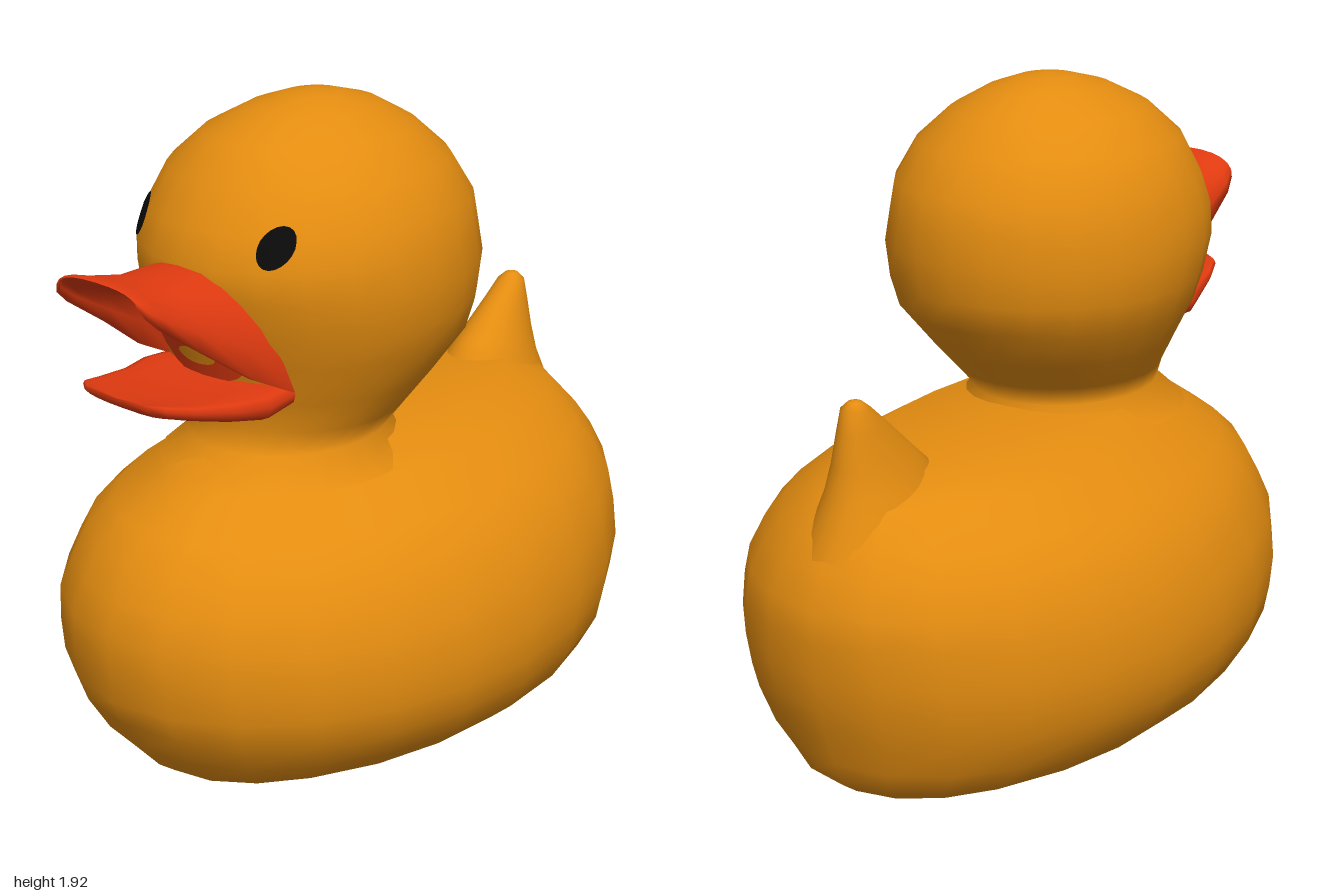
import * as THREE from 'three';

const SEG = 24;
const mat = (name, color, side = THREE.FrontSide) =>
  Object.assign(new THREE.MeshStandardMaterial({ color, side }), { name });

// Skin closed rings of points; optional end point closes the last ring
function loft(rings, tip) {
  const n = rings[0].length, pos = rings.flat(2), index = [];
  for (let i = 0; i < rings.length - 1; i++) {
    for (let j = 0; j < n; j++) {
      const a = i * n + j, b = i * n + (j + 1) % n;
      index.push(a, b, b + n, a, b + n, a + n);
    }
  }
  if (tip) {
    const base = (rings.length - 1) * n;
    pos.push(...tip);
    for (let j = 0; j < n; j++) index.push(base + j, base + (j + 1) % n, rings.length * n);
  }
  const geo = new THREE.BufferGeometry();
  geo.setAttribute('position', new THREE.Float32BufferAttribute(pos, 3));
  geo.setIndex(index);
  geo.computeVertexNormals();
  return geo;
}

// Horizontal ring from [height, half width, front z, back z]
function ring([y, w, zf, zb]) {
  const c = (zf + zb) / 2, h = (zf - zb) / 2;
  return Array.from({ length: SEG }, (_, j) => {
    const a = (j / SEG) * Math.PI * 2;
    return [w * Math.sin(a), y, c + h * Math.cos(a)];
  });
}

const BODY = [
  [0.005, 0.46, 0.76, -0.82], [0.05, 0.54, 0.82, -0.88], [0.13, 0.63, 0.89, -0.915],
  [0.24, 0.695, 0.955, -0.95], [0.32, 0.705, 0.985, -0.975], [0.42, 0.715, 0.993, -0.993],
  [0.53, 0.69, 1.0, -1.0], [0.62, 0.655, 0.96, -0.995], [0.71, 0.605, 0.915, -0.95],
  [0.78, 0.53, 0.84, -0.91], [0.87, 0.40, 0.70, -0.83], [0.935, 0.29, 0.6, -0.66],
];
const HEAD = [
  [0.88, 0.36, 0.66, -0.14], [0.96, 0.27, 0.57, -0.05], [1.03, 0.31, 0.55, -0.11],
  [1.12, 0.365, 0.57, -0.20], [1.24, 0.435, 0.61, -0.31], [1.33, 0.46, 0.645, -0.34],
  [1.44, 0.475, 0.68, -0.355], [1.53, 0.46, 0.69, -0.345], [1.62, 0.44, 0.65, -0.33],
  [1.73, 0.38, 0.59, -0.26], [1.82, 0.28, 0.49, -0.16], [1.88, 0.17, 0.36, -0.05],
  [1.91, 0.08, 0.24, 0.06],
];
const TAIL = [
  [0.72, 0.2, -0.42, -0.94], [0.9, 0.13, -0.47, -0.87], [0.98, 0.095, -0.56, -0.855],
  [1.08, 0.06, -0.67, -0.84], [1.14, 0.042, -0.74, -0.825], [1.16, 0.02, -0.765, -0.805],
];

// Front surface of the head at x, y
function headZ(x, y) {
  const i = Math.max(1, HEAD.findIndex(r => r[0] >= y));
  const a = HEAD[i - 1], b = HEAD[i], t = (y - a[0]) / (b[0] - a[0]);
  const [w, zf, zb] = [1, 2, 3].map(k => a[k] + (b[k] - a[k]) * t);
  return (zf + zb) / 2 + ((zf - zb) / 2) * Math.sqrt(Math.max(0, 1 - (x / w) ** 2));
}

// Oval patch lying on the front of the head
function headPatch(cx, cy, rx, ry, lift) {
  const rings = [1, 0.75, 0.5, 0.25].map(s => Array.from({ length: 20 }, (_, j) => {
    const a = (j / 20) * Math.PI * 2;
    const x = cx + s * rx * Math.cos(a), y = cy + s * ry * Math.sin(a);
    return [x, y, headZ(x, y) + lift];
  }));
  return loft(rings, [cx, cy, headZ(cx, cy) + lift]);
}

const bend = (v, p) => Math.sign(v) * Math.abs(v) ** p;

// Arched section of the upper bill: outer arch, then inner arch back
function arch([w, ey, ez, ty, tz, t]) {
  const N = 12, pts = [];
  for (let k = 0; k < 2; k++) {
    for (let j = 0; j <= N; j++) {
      const a = ((k ? N - j : j) / N) * Math.PI;
      const s = Math.abs(Math.sin(a)) ** 0.85, c = bend(Math.cos(a), 0.85);
      pts.push([(w - k * t) * c, ey + (ty - k * t - ey) * s, ez + (tz - ez) * s]);
    }
  }
  return pts;
}

// Flat rounded section of the lower bill, dished on top
function tray([z, w, top, bottom]) {
  return Array.from({ length: 20 }, (_, j) => {
    const a = (j / 20) * Math.PI * 2, s = Math.sin(a), c = Math.cos(a);
    const dish = s > 0 ? 0.025 * s * s : 0;
    return [w * bend(c, 0.8), (top + bottom) / 2 + ((top - bottom) / 2) * bend(s, 0.6) - dish, z];
  });
}

export function createModel() {
  const group = new THREE.Group();
  group.name = 'bathDuck';
  const orange = mat('duckOrange', 0xe38c10);
  const red = mat('billRed', 0xe03a10, THREE.DoubleSide);
  const black = mat('eyeBlack', 0x0a0a0a);
  const grey = mat('plugGrey', 0x7c7c7c);
  const add = (name, geo, material) => {
    const m = new THREE.Mesh(geo, material);
    m.name = name;
    group.add(m);
    return m;
  };

  // Body, tail and head
  add('body', loft(BODY.map(ring), [0, 0.95, 0]), orange);
  add('tail', loft(TAIL.map(ring), [0, 1.166, -0.785]), orange);
  add('head', loft(HEAD.map(ring), [0, 1.92, 0.15]), orange);

  // Flat underside with its round plug
  const base = add('underside', new THREE.CircleGeometry(1, SEG).rotateX(Math.PI / 2), orange);
  base.scale.set(0.46, 1, 0.79);
  base.position.set(0, 0.005, -0.03);
  add('plug', new THREE.CylinderGeometry(0.055, 0.055, 0.005, 16), grey).position.y = 0.0025;

  // Open bill
  add('upperBill', loft([
    [0.25, 1.17, 0.50, 1.52, 0.64, 0.03], [0.235, 1.235, 0.63, 1.53, 0.71, 0.035],
    [0.195, 1.35, 0.79, 1.525, 0.82, 0.035], [0.192, 1.44, 0.92, 1.545, 0.93, 0.03],
    [0.18, 1.48, 0.965, 1.557, 0.975, 0.015], [0.15, 1.51, 0.98, 1.55, 0.985, 0],
  ].map(arch)), red);
  add('lowerBill', loft([
    [0.48, 0.24, 1.21, 1.11], [0.60, 0.255, 1.215, 1.095], [0.70, 0.225, 1.21, 1.115],
    [0.82, 0.195, 1.22, 1.15], [0.90, 0.165, 1.235, 1.175], [0.93, 0.12, 1.235, 1.195],
  ].map(tray), [0, 1.215, 0.932]), red);
  add('mouthLining', headPatch(0, 1.34, 0.2, 0.17, 0.01), red);
  add('throat', headPatch(0, 1.255, 0.07, 0.025, 0.018), orange);

  // Eyes
  for (const s of [1, -1]) {
    add(s > 0 ? 'leftEye' : 'rightEye', headPatch(s * 0.255, 1.6, 0.04, 0.055, 0.008), black);
  }
  return group;
}
